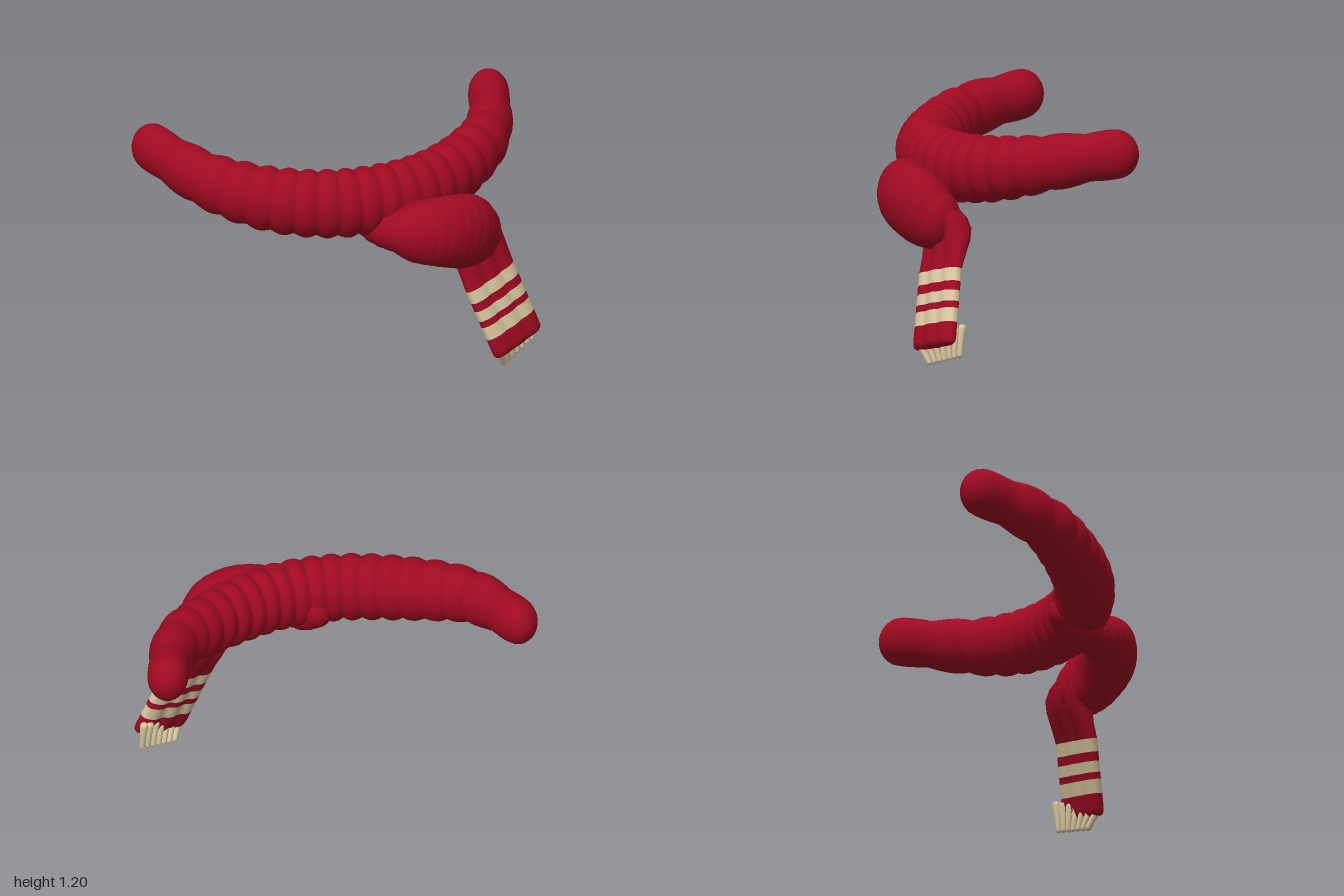
import * as THREE from 'three';

const V = (x, y, z) => new THREE.Vector3(x, y, z);
const red = new THREE.MeshStandardMaterial({ color: 0xa00a22 });
red.name = 'red wool';
const cream = new THREE.MeshStandardMaterial({ color: 0xdcc9a2 });
cream.name = 'cream wool';

// Skin a list of closed rings (arrays of Vector3) with smooth normals
function loft(rings) {
  const n = rings[0].length, index = [];
  for (let i = 0; i < rings.length - 1; i++) {
    for (let j = 0; j < n; j++) {
      const a = i * n + j, b = i * n + (j + 1) % n;
      index.push(a, b, a + n, b, b + n, a + n);
    }
  }
  const geo = new THREE.BufferGeometry().setFromPoints(rings.flat());
  geo.setIndex(index);
  geo.computeVertexNormals();
  return geo;
}

// Ring around centre c: half extents rw along w and rv along v, shaped by profile(angle)
function ring(c, w, v, rw, rv, n, profile) {
  return Array.from({ length: n }, (_, j) => {
    const [p, q] = profile((j / n) * Math.PI * 2);
    return c.clone().addScaledVector(w, p * rw).addScaledVector(v, q * rv);
  });
}
const oval = a => [Math.cos(a), Math.sin(a)];
// Three soft folds side by side
const folds = a => {
  const u = Math.cos(a), s = Math.sin(a);
  return [u, Math.sign(s) * Math.sqrt(Math.abs(s)) * (0.72 + 0.28 * Math.abs(Math.cos(1.5 * Math.PI * u)))];
};

// Neck loop: scalloped tube with rounded ends
function neckLoop() {
  const half = [[0.18, 0.217], [0.36, 0.157], [0.54, 0.058], [0.72, -0.09], [0.81, -0.23], [0.9, -0.47]];
  const at = (x, z) => V(x, 0.934 + 0.141 * Math.abs(x / 0.9) ** 3, z);
  const curve = new THREE.CatmullRomCurve3([
    ...half.map(([x, z]) => at(-x, z)).reverse(), at(0, 0.235), ...half.map(([x, z]) => at(x, z)),
  ]);
  const beads = 19, steps = beads * 10, rings = [];
  // The outermost points are half as far apart, so convert an even step in x to a curve parameter
  const param = x => {
    const a = Math.abs(x) / 0.18;
    const k = a < 4 ? a : 4 + (a - 4) * 2;
    return 0.5 + Math.sign(x) * k / 12;
  };
  const add = (f, push, scale) => {
    const t = param((2 * f - 1) * 0.9);
    const T = curve.getTangent(t);
    const w = V(0, 1, 0).cross(T).normalize();
    const v = T.clone().cross(w);
    const s = Math.abs(2 * f - 1) ** 3;
    const r = scale * (0.9 + 0.1 * Math.abs(Math.cos(Math.PI * beads * f)));
    rings.push(ring(curve.getPoint(t).addScaledVector(T, push), w, v,
      r * (0.153 - 0.051 * s), r * (0.179 - 0.054 * s), 28, oval));
  };
  const cap = [0.001, 0.25, 0.5, 0.7, 0.87, 0.97];
  cap.forEach(k => add(0, -0.115 * Math.sqrt(1 - k * k), k));
  for (let i = 0; i <= steps; i++) add(i / steps, 0, 1);
  cap.reverse().forEach(k => add(1, 0.115 * Math.sqrt(1 - k * k), k));
  return loft(rings);
}

export function createModel() {
  const model = new THREE.Group();
  model.name = 'scarf';
  const add = (geo, mat, name, parent = model) => {
    const mesh = new THREE.Mesh(geo, mat);
    mesh.name = name;
    parent.add(mesh);
    return mesh;
  };

  add(neckLoop(), red, 'neckLoop');

  // Knot: overlapping bulges wrapping from behind, under and round the front
  const knot = new THREE.Group();
  knot.name = 'knot';
  model.add(knot);
  const bulges = [
    [-0.035, 0.87, 0.165, 0.085, 0.1, 0.1],
    [0.01, 0.8, 0.26, 0.09, 0.09, 0.12],
    [0.1, 0.81, 0.385, 0.115, 0.12, 0.12],
    [0.18, 0.81, 0.43, 0.14, 0.165, 0.13],
    [0.3, 0.795, 0.44, 0.15, 0.185, 0.142],
    [0.41, 0.765, 0.41, 0.15, 0.195, 0.135],
    [0.495, 0.715, 0.35, 0.13, 0.16, 0.125],
  ];
  const centres = new THREE.CatmullRomCurve3(bulges.map(b => V(b[0], b[1], b[2])));
  const radii = new THREE.CatmullRomCurve3(bulges.map(b => V(b[3], b[4], b[5])));
  const count = 18;
  for (let i = 0; i <= count; i++) {
    const bulge = add(new THREE.SphereGeometry(1, 28, 18), red, 'knotBulge', knot);
    bulge.position.copy(centres.getPoint(i / count));
    bulge.scale.copy(radii.getPoint(i / count));
    bulge.rotation.z = -0.3;
  }

  // Hanging tail: folded strap split into red and cream bands
  const tail = new THREE.Group();
  tail.name = 'hangingTail';
  model.add(tail);
  const T = V(0.33, -0.93, 0.17).normalize();
  const v = T.clone().cross(V(0.865, 0.32, -0.385)).normalize();
  const w = v.clone().cross(T);
  const section = (c, rw, rv) => ring(c, w, v, rw, rv, 48, folds);
  const strap = (y, rw = 0.16, rv = 0.046) =>
    section(V(0.57 + 0.357 * (0.48 - y), y, 0.345 + 0.186 * (0.48 - y)), rw, rv);
  add(loft([
    section(V(0.4, 0.84, 0.4), 0.001, 0.001),
    section(V(0.42, 0.81, 0.38), 0.1, 0.07),
    section(V(0.45, 0.765, 0.345), 0.135, 0.095),
    section(V(0.485, 0.72, 0.318), 0.145, 0.1),
    section(V(0.515, 0.67, 0.3), 0.15, 0.09),
    section(V(0.535, 0.61, 0.303), 0.153, 0.075),
    section(V(0.555, 0.54, 0.323), 0.157, 0.056),
    strap(0.465),
  ]), red, 'tailTop', tail);
  const bands = [0.465, 0.403, 0.36, 0.308, 0.276, 0.21];
  for (let i = 0; i < bands.length - 1; i++) {
    const stripe = i % 2 === 0;
    add(loft([strap(bands[i]), strap(bands[i + 1])]), stripe ? cream : red,
      stripe ? 'creamStripe' : 'redStripe', tail);
  }
  add(loft([
    strap(0.21), strap(0.14), strap(0.12, 0.158, 0.041),
    strap(0.108, 0.148, 0.028), strap(0.102, 0.001, 0.001),
  ]), red, 'tailEnd', tail);

  // Fringe: row of tapered tassels, growing longer towards the outer edge
  const fringe = new THREE.Group();
  fringe.name = 'fringe';
  model.add(fringe);
  for (let i = 0; i < 7; i++) {
    const k = i / 6;
    const top = V(0.59 + 0.22 * k, 0.1 + 0.113 * k, 0.455 - 0.157 * k);
    const tip = V(0.62 + 0.195 * k, 0.016 + 0.065 * k, 0.417 - 0.105 * k);
    const h = top.distanceTo(tip) / 2;
    const profile = [
      [0, -h - 0.015], [0.01, -h - 0.011], [0.015, -h], [0.016, 0],
      [0.021, h], [0.018, h + 0.012], [0.01, h + 0.019], [0, h + 0.021],
    ].map(([r, y]) => new THREE.Vector2(r, y));
    const tassel = add(new THREE.LatheGeometry(profile, 14), cream, 'tassel', fringe);
    tassel.position.copy(top).add(tip).multiplyScalar(0.5);
    tassel.quaternion.setFromUnitVectors(V(0, 1, 0), top.sub(tip).normalize());
  }
  return model;
}
